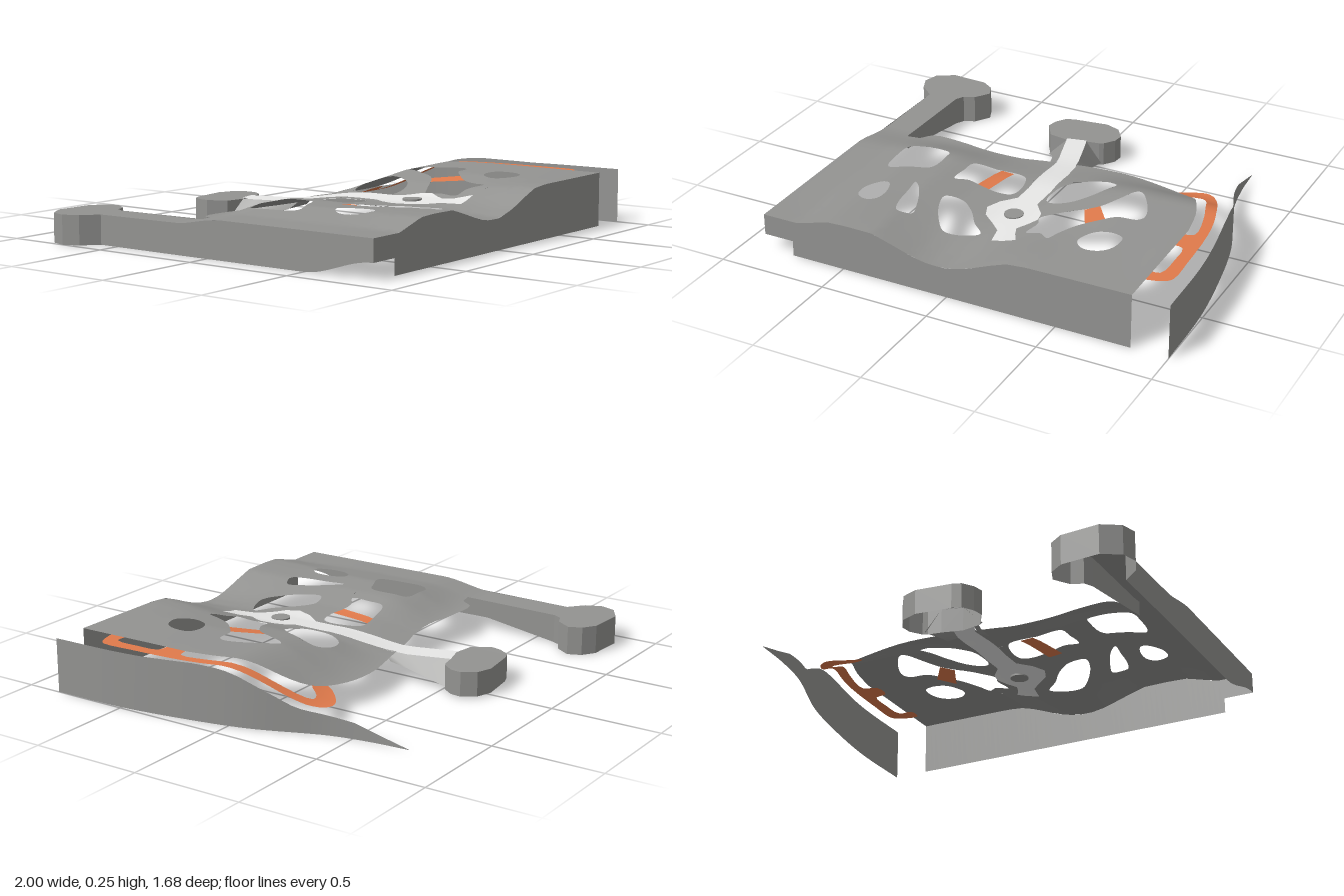
import * as THREE from 'three';

const mat = (name, color) => new THREE.MeshStandardMaterial({ name, color, side: THREE.DoubleSide });

// piecewise-linear lookup in [[key, value], ...] with rising keys
function lookup(table, k) {
  if (k <= table[0][0]) return table[0][1];
  for (let i = 1; i < table.length; i++) {
    const [a, va] = table[i - 1], [b, vb] = table[i];
    if (k <= b) return va + (vb - va) * (k - a) / (b - a);
  }
  return table[table.length - 1][1];
}
const { lerp, smoothstep } = THREE.MathUtils;

// height along the front edge, along the middle, along the back, and along the free side wall
const FRONT = [[-0.9, 0.165], [-0.72, 0.165], [-0.65, 0.185], [-0.57, 0.208], [-0.48, 0.212], [-0.35, 0.21], [-0.25, 0.18],
  [-0.15, 0.148], [-0.08, 0.136], [0, 0.136], [0.1, 0.162], [0.2, 0.203], [0.28, 0.232], [0.37, 0.24], [0.83, 0.243]];
const MIDDLE = [[-0.9, 0.165], [-0.75, 0.17], [-0.55, 0.203], [-0.38, 0.2], [-0.2, 0.168], [0, 0.156], [0.15, 0.168],
  [0.3, 0.21], [0.5, 0.238], [0.8, 0.245]];
const BACK = [[-0.5, 0.13], [-0.2, 0.118], [0.1, 0.118], [0.6, 0.09]];
const RIGHT = [[-0.75, 0.002], [-0.62, 0.035], [-0.51, 0.07], [-0.3, 0.1], [-0.25, 0.117], [-0.2, 0.145], [-0.1, 0.195],
  [-0.05, 0.218], [0, 0.235], [0.06, 0.245], [0.15, 0.25], [0.4, 0.243], [0.84, 0.243]];

// height of the wavy panel
function height(x, z) {
  const body = lerp(lookup(MIDDLE, x), lookup(FRONT, x), smoothstep(z, 0.4, 0.83));
  const end = lerp(-0.2, -0.35, smoothstep(x, -0.7, 0.3));
  return lerp(lookup(BACK, x), body, smoothstep(z, end, 0.08));
}

// smooth closed or open curve through [x, z] points
function smooth(pts, closed = true, n = 5) {
  const c = new THREE.CatmullRomCurve3(pts.map(([x, z]) => new THREE.Vector3(x, 0, z)), closed);
  const out = c.getPoints(pts.length * n).map(p => [p.x, p.z]);
  if (closed) out.pop();
  return out;
}

// flat outline with holes, finely split and laid over the height rule
function drape(outline, holes, lift) {
  const v2 = list => list.map(([x, z]) => new THREE.Vector2(x, -z));
  const shape = new THREE.Shape(v2(outline));
  shape.holes = holes.map(h => new THREE.Path(v2(h)));
  const flat = new THREE.ShapeGeometry(shape), src = flat.attributes.position, idx = flat.index.array;
  const stack = [], pos = [], nor = [], e = 0.02, n = new THREE.Vector3();
  for (let i = 0; i < idx.length; i += 3) {
    stack.push([0, 1, 2].map(k => [src.getX(idx[i + k]), -src.getY(idx[i + k])]));
  }
  while (stack.length) {
    const t = stack.pop();
    const len = [0, 1, 2].map(k => Math.hypot(t[k][0] - t[(k + 1) % 3][0], t[k][1] - t[(k + 1) % 3][1]));
    const k = len.indexOf(Math.max(...len));
    if (len[k] > 0.06) {
      const a = t[k], b = t[(k + 1) % 3], c = t[(k + 2) % 3], m = [(a[0] + b[0]) / 2, (a[1] + b[1]) / 2];
      stack.push([a, m, c], [m, b, c]);
      continue;
    }
    for (const [x, z] of t) {
      pos.push(x, height(x, z) + lift, z);
      n.set(height(x - e, z) - height(x + e, z), 2 * e, height(x, z - e) - height(x, z + e)).normalize();
      nor.push(n.x, n.y, n.z);
    }
  }
  const g = new THREE.BufferGeometry();
  g.setAttribute('position', new THREE.Float32BufferAttribute(pos, 3));
  g.setAttribute('normal', new THREE.Float32BufferAttribute(nor, 3));
  return g;
}

// strip between two rows of [x, y, z] points
function band(top, low, flat = false) {
  const pos = [], index = [];
  top.forEach((p, i) => {
    pos.push(...p, ...low[i]);
    const a = i * 2;
    if (i) index.push(a - 2, a - 1, a, a, a - 1, a + 1);
  });
  let g = new THREE.BufferGeometry();
  g.setAttribute('position', new THREE.Float32BufferAttribute(pos, 3));
  g.setIndex(index);
  if (flat) g = g.toNonIndexed();
  g.computeVertexNormals();
  return g;
}
const wall = (pts, top, low, flat) =>
  band(pts.map(([x, z]) => [x, top(x, z), z]), pts.map(([x, z]) => [x, low(x, z), z]), flat);
const line = (a, b, n) => Array.from({ length: n + 1 }, (_, i) => [lerp(a[0], b[0], i / n), lerp(a[1], b[1], i / n)]);

export function createModel() {
  const model = new THREE.Group();
  const grey = mat('grey', 0x939391), light = mat('lightGrey', 0xebebea), orange = mat('orange', 0xe07a4b);
  const add = (name, geometry, material) => {
    const m = new THREE.Mesh(geometry, material);
    m.name = name;
    model.add(m);
    return m;
  };
  const floor = () => 0;

  // wavy panel with rounded openings
  const rearEdge = smooth([[0.83, 0.27], [0.8, 0.12], [0.75, 0], [0.68, -0.14], [0.6, -0.22], [0.45, -0.28], [0.3, -0.3],
    [0.1, -0.27], [-0.09, -0.23], [-0.2, -0.2], [-0.35, -0.19], [-0.5, -0.21], [-0.66, -0.21], [-0.7, -0.15]], false, 3);
  const rearOpenings = [
    [[-0.64, 0.02], [-0.54, 0], [-0.45, 0.01], [-0.43, 0.08], [-0.44, 0.19], [-0.5, 0.22], [-0.62, 0.255], [-0.65, 0.12]],
    [[-0.3, 0.04], [-0.2, 0.015], [-0.07, 0.005], [-0.03, 0.1], [-0.04, 0.18], [-0.1, 0.2], [-0.25, 0.18], [-0.31, 0.21], [-0.31, 0.12]],
    [[0.14, 0], [0.2, -0.06], [0.3, -0.08], [0.36, -0.04], [0.35, 0.05], [0.28, 0.17], [0.2, 0.2], [0.13, 0.18], [0.12, 0.08]],
  ];
  const frontOpenings = [
    [[0.5, 0.03], [0.57, 0.11], [0.62, 0.24], [0.6, 0.275], [0.52, 0.285], [0.46, 0.33], [0.38, 0.41], [0.34, 0.49], [0.32, 0.55],
      [0.26, 0.5], [0.19, 0.49], [0.2, 0.4], [0.18, 0.34], [0.24, 0.305], [0.33, 0.265], [0.4, 0.21], [0.45, 0.12]],
    [[0.45, 0.53], [0.48, 0.45], [0.55, 0.42], [0.61, 0.44], [0.61, 0.53], [0.57, 0.58], [0.5, 0.59]],
    [[-0.61, 0.47], [-0.57, 0.41], [-0.53, 0.4], [-0.5, 0.46], [-0.5, 0.55], [-0.54, 0.58], [-0.6, 0.54]],
    [[-0.43, 0.34], [-0.39, 0.38], [-0.33, 0.5], [-0.31, 0.58], [-0.37, 0.6], [-0.4, 0.54], [-0.42, 0.42]],
    [[-0.27, 0.36], [-0.2, 0.34], [-0.12, 0.4], [-0.06, 0.48], [0, 0.54], [-0.05, 0.58], [-0.14, 0.6], [-0.2, 0.54], [-0.26, 0.43]],
  ];
  const openings = [...rearOpenings, ...frontOpenings].map(h => smooth(h));
  add('panel', drape([[-0.89, 0.835], [0.835, 0.835], ...rearEdge, [-0.76, -0.14], [-0.9, -0.14]], openings, 0), grey);

  // front wall with a notch in its lower corner
  add('frontWall', wall(line([-0.75, 0.835], [0.835, 0.835], 60), height, floor), grey);
  add('frontWallNotch', wall(line([-0.89, 0.835], [-0.75, 0.835], 4), height, () => 0.07), grey);

  // side wall under the edge of the panel
  add('rightSideWall', wall(line([-0.89, 0.835], [-0.9, -0.14], 30), height,
    (x, z) => 0.07 * smoothstep(z, 0.5, 0.83)), grey);

  // free-standing curved side wall
  const sweep = smooth([[1, 0.84], [0.99, 0.5], [0.95, 0.2], [0.89, -0.08], [0.77, -0.4], [0.735, -0.58], [0.72, -0.75]], false, 8);
  add('leftSideWall', wall(sweep, (x, z) => lookup(RIGHT, z), floor), grey);

  // long arm with a rounded pad, hollow below; its inner side grows towards the pad
  const longArm = [[-0.9, -0.14], [-0.9, -0.59], [-0.97, -0.65], [-1, -0.72], [-0.98, -0.79], [-0.9, -0.84], [-0.73, -0.83],
    [-0.67, -0.79], [-0.645, -0.73], [-0.69, -0.66], [-0.74, -0.64], [-0.76, -0.6], [-0.76, -0.14]];
  add('longArmTop', drape(longArm, [], 0), grey);
  add('longArmSides', wall(longArm, height, (x, z) => (x > -0.8 ? 0.07 * smoothstep(z, -0.6, -0.14) : 0), true), grey);

  // short arm pad
  const pad = [[-0.1, -0.475], [-0.19, -0.49], [-0.24, -0.57], [-0.23, -0.62], [-0.2, -0.67], [-0.16, -0.685], [0, -0.705],
    [0.07, -0.68], [0.11, -0.62], [0.105, -0.57], [0.07, -0.52], [0.05, -0.51], [-0.01, -0.5]];
  add('shortArmPadTop', drape(pad, [], 0), grey);
  add('shortArmPadSides', wall([...pad, pad[0]], height, () => 0.008, true), grey);

  // steep flanks of the short arm
  const flank = (inner, outer) => band(inner.map(([x, z]) => [x, height(x, z), z]),
    outer.map(([x, z], i) => [x, 0.015 + 0.025 * i, z]));
  add('shortArmFlank', flank([[-0.1, -0.48], [-0.08, -0.41], [-0.055, -0.32], [-0.025, -0.2]],
    [[-0.2, -0.49], [-0.15, -0.43], [-0.115, -0.34], [-0.09, -0.22]]), grey);
  add('shortArmFlank', flank([[-0.01, -0.5], [0.02, -0.4], [0.045, -0.31], [0.07, -0.2]],
    [[0.06, -0.52], [0.065, -0.42], [0.075, -0.34], [0.095, -0.26]]), grey);

  // pale central spine, showing above and below the panel, with a hub knob
  const spine = [[-0.1, -0.48], [-0.06, -0.34], [-0.03, -0.24], [-0.02, -0.1], [0, 0.1], [0, 0.2], [-0.05, 0.27], [-0.075, 0.34],
    [-0.05, 0.4], [0.01, 0.45], [0.06, 0.5], [0.08, 0.59], [0.19, 0.58], [0.15, 0.51], [0.13, 0.46], [0.185, 0.37], [0.17, 0.31],
    [0.11, 0.23], [0.11, 0.1], [0.09, -0.1], [0.07, -0.22], [0.04, -0.32], [-0.01, -0.5]];
  add('spineTop', drape(spine, [], 0.005), light);
  add('spineUnderside', drape(spine, [], -0.004), light);
  add('hubKnob', new THREE.CylinderGeometry(0.042, 0.042, 0.024, 24), grey).position.set(0.06, height(0.06, 0.35), 0.35);

  // orange side frame and two links beneath the openings
  const frame = [[0.54, -0.24], [0.6, -0.32], [0.66, -0.345], [0.71, -0.32], [0.8, -0.12], [0.88, 0.1], [0.91, 0.25], [0.925, 0.5],
    [0.925, 0.64], [0.9, 0.67], [0.8, 0.69], [0.8, 0.625], [0.86, 0.62], [0.87, 0.5], [0.86, 0.4], [0.8, 0.385], [0.8, 0.3],
    [0.86, 0.28], [0.845, 0.15], [0.795, 0], [0.73, -0.17], [0.68, -0.26], [0.64, -0.25], [0.6, -0.2]];
  add('sideFrame', drape(smooth(frame, true, 3), [], -0.008), orange);
  add('link', drape([[-0.19, -0.01], [-0.13, -0.01], [-0.158, 0.22], [-0.222, 0.22]], [], -0.01), orange);
  add('link', drape([[0.34, 0.24], [0.39, 0.19], [0.485, 0.33], [0.42, 0.4]], [], -0.01), orange);

  return model;
}
